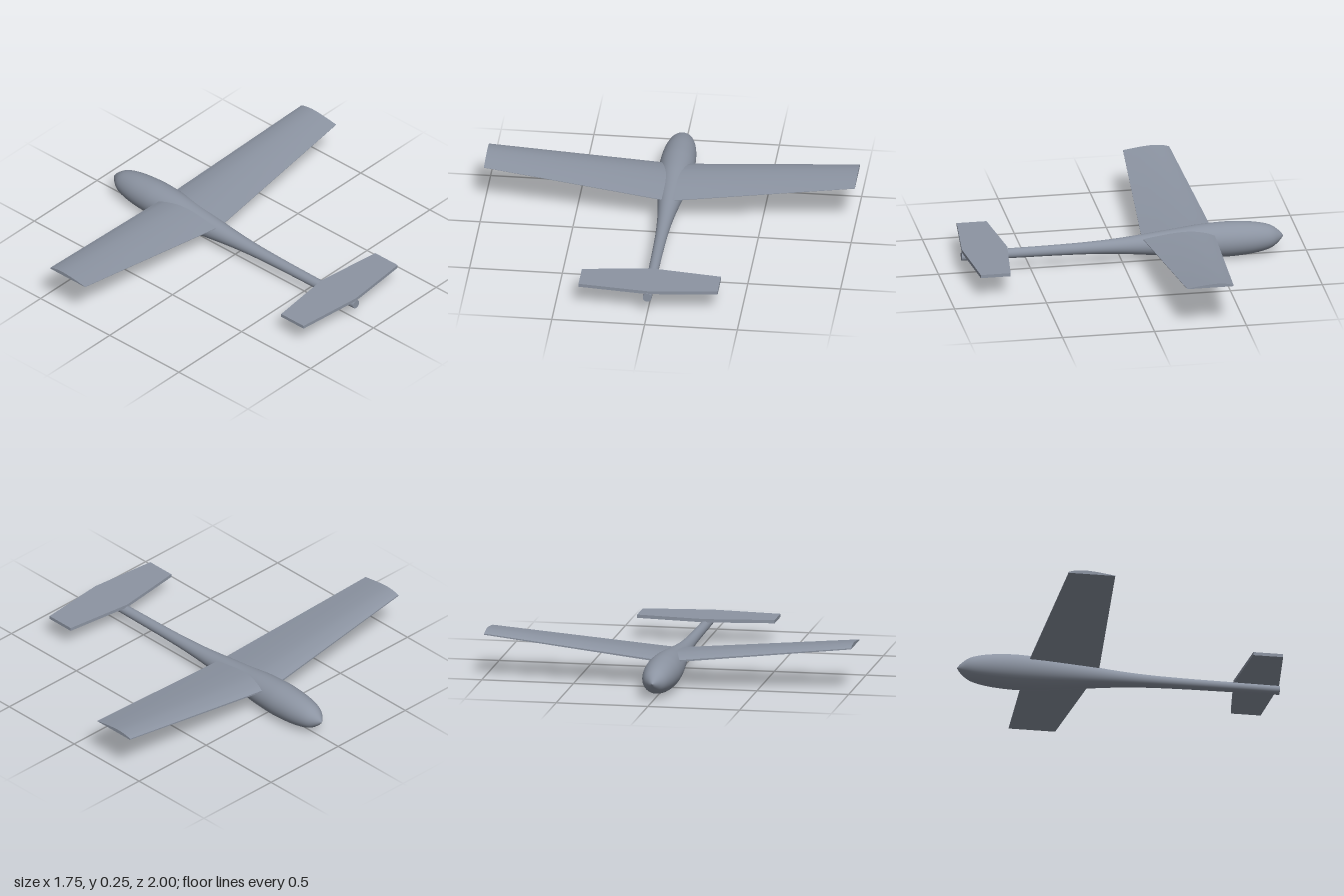
import * as THREE from 'three';
import { toCreasedNormals } from 'three/addons/utils/BufferGeometryUtils.js';

const AXIS_Y = 0.096;

// Extrudes a unit-chord section across the full span, then applies taper and dihedral.
function surface(section, { halfSpan, root, tip, rootY, tipY }) {
  const geo = new THREE.ExtrudeGeometry(section, { depth: 2, steps: 2, bevelEnabled: false });
  geo.translate(0, 0, -1);
  const p = geo.attributes.position;
  for (let i = 0; i < p.count; i++) {
    const t = Math.abs(p.getZ(i));
    const lead = THREE.MathUtils.lerp(root[0], tip[0], t);
    const trail = THREE.MathUtils.lerp(root[1], tip[1], t);
    const chord = trail - lead;
    const base = THREE.MathUtils.lerp(rootY, tipY, t);
    // y above 1 marks an absolute thickness (flat plate), otherwise a fraction of chord
    const y = p.getY(i);
    p.setXYZ(i, lead + p.getX(i) * chord, base + y * (section.userThickness ?? chord), p.getZ(i) * halfSpan);
  }
  return toCreasedNormals(geo, 0.45);
}

export function createModel() {
  const model = new THREE.Group();
  model.name = 'glider';
  const grey = new THREE.MeshStandardMaterial({ color: 0x8c94a2 });
  grey.name = 'blue grey';

  const add = (name, geo) => {
    const mesh = new THREE.Mesh(geo, grey);
    mesh.name = name;
    model.add(mesh);
    return mesh;
  };

  // Fuselage: teardrop pod flowing into a thin tail boom, (radius, station)
  const profile = new THREE.SplineCurve([
    [0, -0.875], [0.03, -0.85], [0.064, -0.8], [0.085, -0.71], [0.094, -0.6],
    [0.094, -0.52], [0.088, -0.41], [0.076, -0.3], [0.063, -0.18], [0.05, -0.06],
    [0.04, 0.06], [0.033, 0.2], [0.029, 0.38], [0.027, 0.6], [0.024, 0.875],
  ].map(([r, x]) => new THREE.Vector2(r, x)));
  const points = profile.getPoints(70);
  points.forEach((v) => { v.x = Math.max(v.x, 0); });
  const body = new THREE.LatheGeometry(points, 40);
  body.rotateZ(-Math.PI / 2);
  body.translate(0, AXIS_Y, 0);
  add('fuselage', body);

  // Flat end of the boom
  const cap = new THREE.CircleGeometry(0.024, 40);
  cap.rotateY(Math.PI / 2);
  cap.translate(0.875, AXIS_Y, 0);
  add('boomEnd', cap);

  // Wing: flat underside, arched top, blunt leading edge
  const airfoil = new THREE.Shape();
  airfoil.moveTo(0, 0);
  airfoil.lineTo(1, 0);
  airfoil.lineTo(1, 0.008);
  airfoil.splineThru([
    [0.8, 0.038], [0.6, 0.064], [0.4, 0.08], [0.25, 0.078], [0.1, 0.056], [0, 0.024],
  ].map(([x, y]) => new THREE.Vector2(x, y)));
  airfoil.closePath();
  add('wing', surface(airfoil, {
    halfSpan: 1, root: [-0.495, -0.105], tip: [-0.43, -0.178], rootY: 0.133, tipY: 0.233,
  }));

  // Tailplane: flat tapered plate on top of the boom
  const plate = new THREE.Shape([[0, 0], [1, 0], [1, 1], [0, 1]].map(([x, y]) => new THREE.Vector2(x, y)));
  plate.userThickness = 0.018;
  add('tailplane', surface(plate, {
    halfSpan: 0.375, root: [0.626, 0.873], tip: [0.673, 0.835], rootY: 0.117, tipY: 0.117,
  }));

  return model;
}
